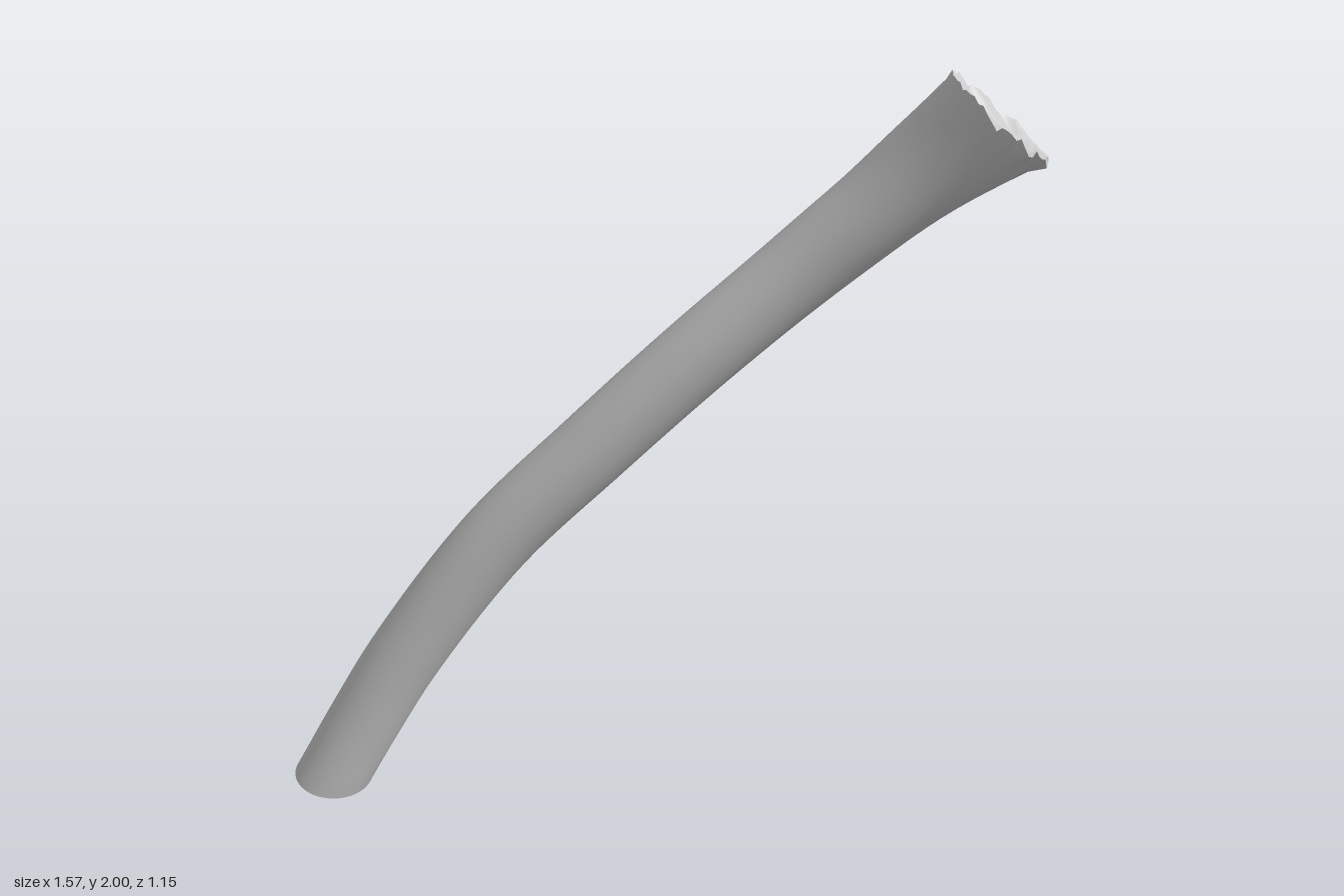
import * as THREE from 'three';

const SIDES = 64, RINGS = 60;
const V = (x, y, z) => new THREE.Vector3(x, y, z);

// centre line of the branch, foot to broken top
const axis = new THREE.CatmullRomCurve3([
  V(-0.68, 0.025, -0.487), V(-0.593, 0.2, -0.443), V(-0.49, 0.4, -0.385),
  V(-0.285, 0.74, -0.255), V(-0.075, 1.01, -0.11), V(0.13, 1.26, 0.03),
  V(0.34, 1.5, 0.175), V(0.44, 1.62, 0.255), V(0.545, 1.75, 0.345), V(0.655, 1.885, 0.46),
]);
// half axes of the flared, slanted rim
const rimA = V(0.12, -0.065, -0.055), rimB = V(-0.055, 0.085, -0.095);

// splinter ridges across the broken face, and finer teeth at its edge
const ridge = (x) => 0.008 * Math.sin(x * 75) + 0.005 * Math.sin(x * 141 + 1);
const teeth = (j) => 0.006 * Math.sin(j * 2.4) * Math.sin(j * 0.7 + 1);

// one point of the bark at height t (0..1) and side j
function barkPoint(t, j) {
  const a = (j / SIDES) * Math.PI * 2;
  const c = axis.getPointAt(t), T = axis.getTangentAt(t);
  const N = rimA.clone().addScaledVector(T, -rimA.dot(T)).normalize();
  const B = T.clone().cross(N);
  const r = 0.096 + 0.012 * THREE.MathUtils.smoothstep(t, 0.7, 0.95);
  const off = N.multiplyScalar(r * Math.cos(a)).addScaledVector(B, r * Math.sin(a));

  // slide the lowest rings along the axis to the nearly level foot cut
  const foot = Math.max(0, 1 - t / 0.12);
  const n = V(0.06, 1, 0.2);
  off.addScaledVector(T, -foot * off.dot(n) / T.dot(n));

  // blend the highest rings into the rim
  const w = Math.max(0, (t - 0.84) / 0.16) ** 2;
  const rim = rimA.clone().multiplyScalar(Math.cos(a)).addScaledVector(rimB, Math.sin(a));
  const p = c.add(off.lerp(rim, w));
  if (t === 1) p.y += ridge(p.x) + teeth(j);
  return p;
}

// closed rings of points joined into a smooth skin
function skin(rings) {
  const pos = rings.flat().flatMap((p) => p.toArray()), idx = [];
  for (let i = 0; i < rings.length - 1; i++) {
    for (let j = 0; j < SIDES; j++) {
      const a = i * SIDES + j, b = i * SIDES + (j + 1) % SIDES;
      idx.push(a, b, a + SIDES, b, b + SIDES, a + SIDES);
    }
  }
  const g = new THREE.BufferGeometry();
  g.setAttribute('position', new THREE.Float32BufferAttribute(pos, 3));
  g.setIndex(idx);
  g.computeVertexNormals();
  return g;
}

const ringAt = (t) => Array.from({ length: SIDES }, (_, j) => barkPoint(t, j));

export function createModel() {
  const group = new THREE.Group();
  group.name = 'branch';
  const material = new THREE.MeshStandardMaterial({ color: 0xcccccc, side: THREE.DoubleSide });
  const add = (name, geometry) => {
    const mesh = new THREE.Mesh(geometry, material);
    mesh.name = name;
    group.add(mesh);
  };

  // bark
  add('bark', skin(Array.from({ length: RINGS + 1 }, (_, i) => ringAt(i / RINGS))));

  // broken top: shallow hollow with splinter ridges
  const top = axis.getPointAt(1), rim = ringAt(1), hollow = [];
  for (let k = 0; k <= 10; k++) {
    const s = 1 - k / 10.05;
    hollow.push(rim.map((p, j) => {
      const q = p.clone();
      if (k === 0) return q;
      q.y -= ridge(p.x) + teeth(j);
      q.lerpVectors(top, q, s);
      q.y += ridge(q.x) - 0.025 * (1 - s * s);
      return q;
    }));
  }
  add('brokenTop', skin(hollow));

  // flat cut at the foot
  const foot = axis.getPointAt(0), base = ringAt(0);
  add('footCut', skin([base.map((p) => p.clone().lerp(foot, 0.999)), base]));
  return group;
}
